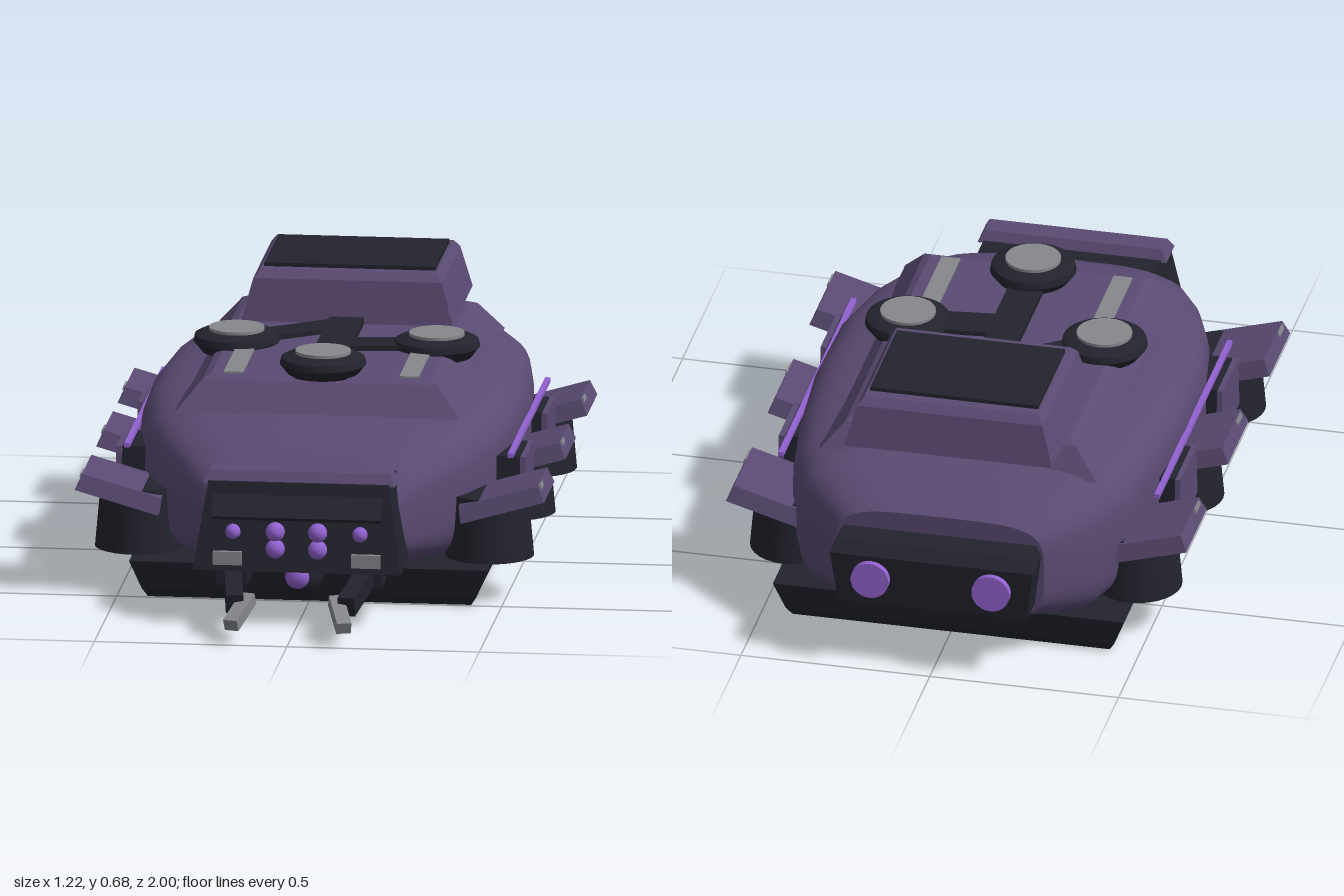
import * as THREE from 'three';
import { toCreasedNormals } from 'three/addons/utils/BufferGeometryUtils.js';

const mat = (name, color) => {
  const m = new THREE.MeshStandardMaterial({ color });
  m.name = name;
  return m;
};

export function createModel() {
  const model = new THREE.Group();
  model.name = 'armouredCrawler';
  const purple = mat('purple armour', 0x5a4a72);
  const dark = mat('dark metal', 0x22232d);
  const grey = mat('grey metal', 0x85878c);
  const violet = mat('violet glow', 0x9162d0);

  const add = (name, geo, material, x = 0, y = 0, z = 0, parent = model) => {
    const mesh = new THREE.Mesh(geo, material);
    mesh.name = name;
    mesh.position.set(x, y, z);
    parent.add(mesh);
    return mesh;
  };
  const box = (w, h, d) => new THREE.BoxGeometry(w, h, d);
  const cyl = (rt, rb, h, n = 28) => new THREE.CylinderGeometry(rt, rb, h, n);

  // Tapered block: each end is [y, halfWidth, zBack, zFront]
  const taper = (low, high) => {
    const g = box(2, 2, 2).toNonIndexed();
    const p = g.attributes.position;
    for (let i = 0; i < p.count; i++) {
      const [y, w, zb, zf] = p.getY(i) < 0 ? low : high;
      p.setXYZ(i, p.getX(i) * w, y, p.getZ(i) < 0 ? zb : zf);
    }
    g.computeVertexNormals();
    return g;
  };
  // Box running between two points
  const beam = (name, a, b, w, h, material) => {
    const from = new THREE.Vector3(...a), to = new THREE.Vector3(...b);
    const m = add(name, box(w, h, from.distanceTo(to)), material);
    m.position.copy(from).lerp(to, 0.5);
    m.lookAt(to);
    return m;
  };

  // Hull: rounded cross-sections [z, halfWidth, bottom, top], front to back
  const sections = [
    [0.64, 0.24, 0.15, 0.33], [0.6, 0.275, 0.13, 0.365], [0.5, 0.345, 0.105, 0.415],
    [0.4, 0.4, 0.09, 0.44], [0.25, 0.455, 0.08, 0.465], [0.05, 0.49, 0.08, 0.485],
    [-0.2, 0.495, 0.08, 0.49], [-0.45, 0.475, 0.08, 0.49], [-0.62, 0.45, 0.08, 0.48],
    [-0.76, 0.4, 0.085, 0.465], [-0.88, 0.275, 0.13, 0.405],
  ];
  const N = 48, pos = [], idx = [];
  const power = (v) => Math.sign(v) * Math.abs(v) ** (2 / 4.3);
  for (const [z, w, b, t] of sections) {
    for (let j = 0; j < N; j++) {
      const a = (j / N) * Math.PI * 2;
      pos.push(w * power(Math.cos(a)), (b + t) / 2 + ((t - b) / 2) * power(Math.sin(a)), z);
    }
  }
  const last = sections.length - 1, front = pos.length / 3;
  for (const s of [sections[0], sections[last]]) pos.push(0, (s[2] + s[3]) / 2, s[0]);
  for (let j = 0; j < N; j++) {
    const k = (j + 1) % N;
    for (let i = 0; i < last; i++) {
      const p = i * N, q = p + N;
      idx.push(p + j, q + j, p + k, p + k, q + j, q + k);
    }
    idx.push(front, j, k, front + 1, last * N + k, last * N + j);
  }
  const hull = new THREE.BufferGeometry();
  hull.setAttribute('position', new THREE.Float32BufferAttribute(pos, 3));
  hull.setIndex(idx);
  add('hull', toCreasedNormals(hull, 0.6), purple);

  // Base skirt
  add('baseSkirt', taper([0, 0.42, -0.755, 0.49], [0.025, 0.435, -0.77, 0.505]), dark);
  add('baseSkirtUpper', taper([0.025, 0.435, -0.77, 0.505], [0.1, 0.465, -0.785, 0.525]), dark);

  // Upper deck and rear cabin
  add('deck', taper([0.45, 0.37, -0.69, 0.325], [0.525, 0.305, -0.645, 0.265]), purple);
  add('deckTop', taper([0.525, 0.305, -0.645, 0.265], [0.535, 0.285, -0.62, 0.245]), purple);
  add('cabin', taper([0.535, 0.275, -0.79, -0.34], [0.645, 0.245, -0.77, -0.36]), purple);
  add('cabinTop', taper([0.645, 0.245, -0.77, -0.36], [0.665, 0.23, -0.75, -0.38]), purple);
  add('roofPanel', box(0.445, 0.012, 0.31), dark, 0, 0.669, -0.565);

  // Deck spine with arms out to the pads
  add('deckSpine', box(0.09, 0.02, 0.46), dark, 0, 0.542, -0.12);
  beam('padArm', [0, 0.54, -0.31], [-0.26, 0.54, -0.12], 0.09, 0.016, dark);
  beam('padArm', [0, 0.54, -0.09], [0.26, 0.54, -0.12], 0.1, 0.016, dark);
  for (const [x, y, z] of [[-0.26, 0.53, -0.12], [0.26, 0.53, -0.12], [0, 0.55, 0.19]]) {
    const pad = new THREE.Group();
    pad.name = 'roundPad';
    pad.position.set(x, y, z);
    model.add(pad);
    const profile = [[0, -0.02], [0.09, -0.02], [0.105, 0], [0.112, 0.008], [0.108, 0.025], [0.085, 0.036], [0, 0.036]];
    const ring = new THREE.LatheGeometry(profile.map((p) => new THREE.Vector2(...p)), 32);
    add('padRing', toCreasedNormals(ring, 0.5), dark, 0, 0, 0, pad);
    add('padDisc', cyl(0.072, 0.072, 0.012), grey, 0, 0.038, 0, pad);
  }

  // Front head block with brow, visor and lamps
  add('head', taper([0.145, 0.27, 0.6, 0.785], [0.37, 0.235, 0.565, 0.735]), dark);
  add('headBrow', taper([0.365, 0.25, 0.635, 0.73], [0.395, 0.235, 0.65, 0.71]), purple);
  const visor = add('visor', box(0.44, 0.07, 0.012), dark, 0, 0.312, 0.772);
  visor.rotation.x = -0.8;
  for (const s of [-1, 1]) {
    for (const [x, y, r] of [[0.165, 0.25, 0.02], [0.055, 0.252, 0.025], [0.055, 0.207, 0.025]]) {
      add('eye', new THREE.SphereGeometry(r, 16, 12), violet, s * x, y, 0.785);
    }
    add('headLamp', box(0.075, 0.035, 0.02), grey, s * 0.18, 0.178, 0.777);
  }
  add('chinBall', new THREE.SphereGeometry(0.065, 24, 16), dark, 0, 0.133, 0.71);
  add('chinLens', new THREE.SphereGeometry(0.036, 20, 12), violet, 0, 0.13, 0.75);

  // Rear thruster block
  add('rearBlock', taper([0.18, 0.25, -0.97, -0.86], [0.325, 0.268, -0.985, -0.86]), dark);
  add('rearBlockTop', taper([0.325, 0.268, -0.985, -0.86], [0.352, 0.255, -0.955, -0.86]), dark);

  for (const s of [-1, 1]) {
    const thruster = add('thruster', cyl(0.05, 0.05, 0.04), violet, s * 0.16, 0.262, -0.98);
    thruster.rotation.x = Math.PI / 2;

    // Mandibles
    add('mandibleRoot', box(0.08, 0.06, 0.1), dark, s * 0.175, 0.125, 0.68);
    beam('mandibleArm', [s * 0.18, 0.135, 0.67], [s * 0.145, 0.09, 0.92], 0.045, 0.05, dark);
    beam('mandibleClaw', [s * 0.113, 0.098, 0.88], [s * 0.147, 0.05, 0.99], 0.038, 0.032, grey);

    // Deck strips and side glow line
    add('deckStrip', box(0.05, 0.012, 0.26), grey, s * 0.228, 0.534, 0.105);
    add('glowStrip', box(0.014, 0.012, 0.84), violet, s * 0.498, 0.35, -0.13);

    // Feet under tilted fenders
    for (const z of [0.38, -0.1, -0.58]) {
      add('foot', cyl(0.1, 0.115, 0.165), dark, s * 0.455, 0.192, z);
      const fender = new THREE.Group();
      fender.name = 'fender';
      fender.position.set(s * 0.495, 0.268, z);
      fender.rotation.z = s * 0.28;
      model.add(fender);
      add('fenderPlate', taper([-0.022, 0.113, -0.118, 0.118], [0.022, 0.107, -0.105, 0.105]), purple, 0, 0, 0, fender);
      add('fenderLamp', box(0.012, 0.012, 0.05), grey, s * 0.106, 0.014, 0.065, fender);
    }

    // Plates between the feet
    for (const z of [0.147, -0.335]) {
      add('sideBox', taper([0.19, 0.08, z - 0.1, z + 0.1], [0.335, 0.07, z - 0.09, z + 0.09]), dark, s * 0.445);
      add('sidePlate', taper([0.195, 0.007, z - 0.105, z + 0.105], [0.335, 0.007, z - 0.092, z + 0.092]), purple, s * 0.525);
    }
  }
  return model;
}
